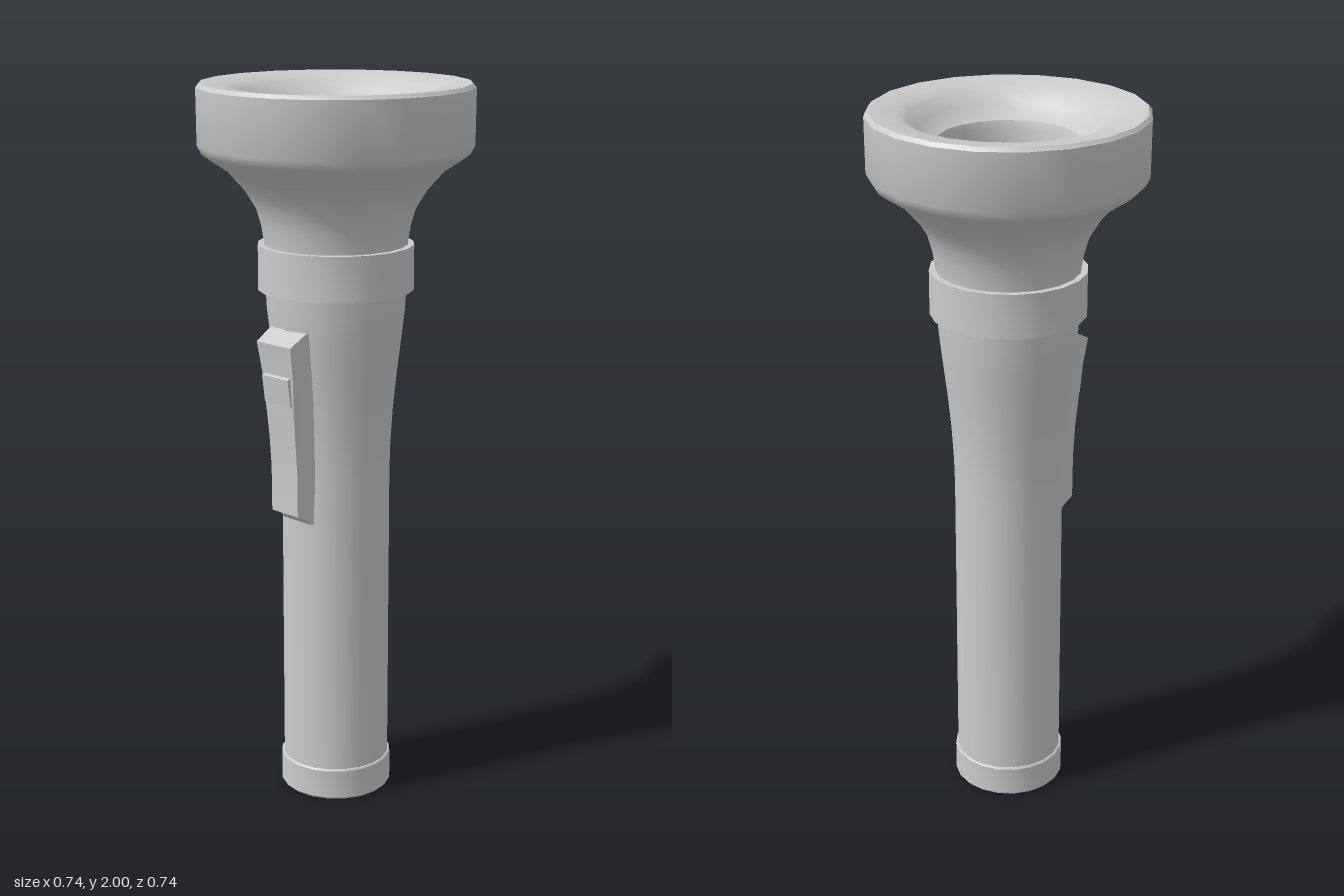
import * as THREE from 'three';
import { toCreasedNormals } from 'three/addons/utils/BufferGeometryUtils.js';

const material = new THREE.MeshStandardMaterial({ color: 0xcccccc });
const SIDES = 20;

function addPart(group, name, geometry) {
  const mesh = new THREE.Mesh(geometry, material);
  mesh.name = name;
  group.add(mesh);
}

// Turned part from [radius, y] pairs, rounded along its curves and sharp at its edges
function turned(profile) {
  const points = profile.map(([r, y]) => new THREE.Vector2(r, y));
  return toCreasedNormals(new THREE.LatheGeometry(points, SIDES), 0.6);
}

// Side profile of [z, y] pairs extruded across x; halfWidth(y, z) sets the taper
function sideProfile(profile, halfWidth) {
  const shape = new THREE.Shape(profile.map(([z, y]) => new THREE.Vector2(z, y)));
  const geometry = new THREE.ExtrudeGeometry(shape, { depth: 2, bevelEnabled: false });
  geometry.translate(0, 0, -1).rotateY(-Math.PI / 2);
  const p = geometry.attributes.position;
  for (let i = 0; i < p.count; i++) {
    p.setX(i, p.getX(i) * halfWidth(p.getY(i), p.getZ(i)));
  }
  return toCreasedNormals(geometry, 0.3);
}

export function createModel() {
  const group = new THREE.Group();

  // Tail cap closing the battery tube
  addPart(group, 'tailCap', turned([
    [0, 0], [0.152, 0], [0.157, 0.006], [0.157, 0.087], [0.154, 0.091], [0.14, 0.091],
  ]));

  // Handle: straight tube that widens towards the collar
  addPart(group, 'handle', turned([
    [0.15, 0.08], [0.15, 0.94], [0.152, 1.02], [0.158, 1.12],
    [0.168, 1.22], [0.18, 1.32], [0.189, 1.4], [0.193, 1.48],
  ]));

  // Collar between handle and head
  addPart(group, 'collar', turned([
    [0.185, 1.45], [0.212, 1.45], [0.212, 1.573], [0.185, 1.573],
  ]));

  // Flared head with a dished front
  addPart(group, 'head', turned([
    [0.19, 1.52], [0.195, 1.58], [0.202, 1.625], [0.215, 1.67], [0.245, 1.72],
    [0.29, 1.77], [0.335, 1.8], [0.358, 1.817], [0.37, 1.84],
    [0.371, 1.99], [0.362, 2], [0.29, 1.992], [0.262, 1.978],
    [0.235, 1.953], [0.21, 1.93], [0.187, 1.92],
  ]));

  // Recessed lens with its short wall
  addPart(group, 'lens', turned([
    [0.187, 1.92], [0.181, 1.9], [0.178, 1.83], [0, 1.83],
  ]));

  // Switch housing, wider at the top and following the curve of the handle
  const taper = (y, z) => {
    const t = THREE.MathUtils.smoothstep(y, 1.12, 1.34);
    return 0.053 + 0.014 * t - (z > 0.19 ? 0.003 : 0);
  };
  addPart(group, 'switchHousing', sideProfile([
    [0.13, 0.82], [0.15, 0.82], [0.162, 0.835], [0.198, 0.852], [0.199, 0.98],
    [0.206, 1.07], [0.216, 1.16], [0.221, 1.24], [0.236, 1.33],
    [0.182, 1.36], [0.16, 1.36], [0.14, 1.15],
  ], taper));

  // Sliding button
  addPart(group, 'switchButton', sideProfile([
    [0.2, 1.165], [0.222, 1.165], [0.232, 1.24], [0.21, 1.248],
  ], () => 0.049));

  return group;
}
